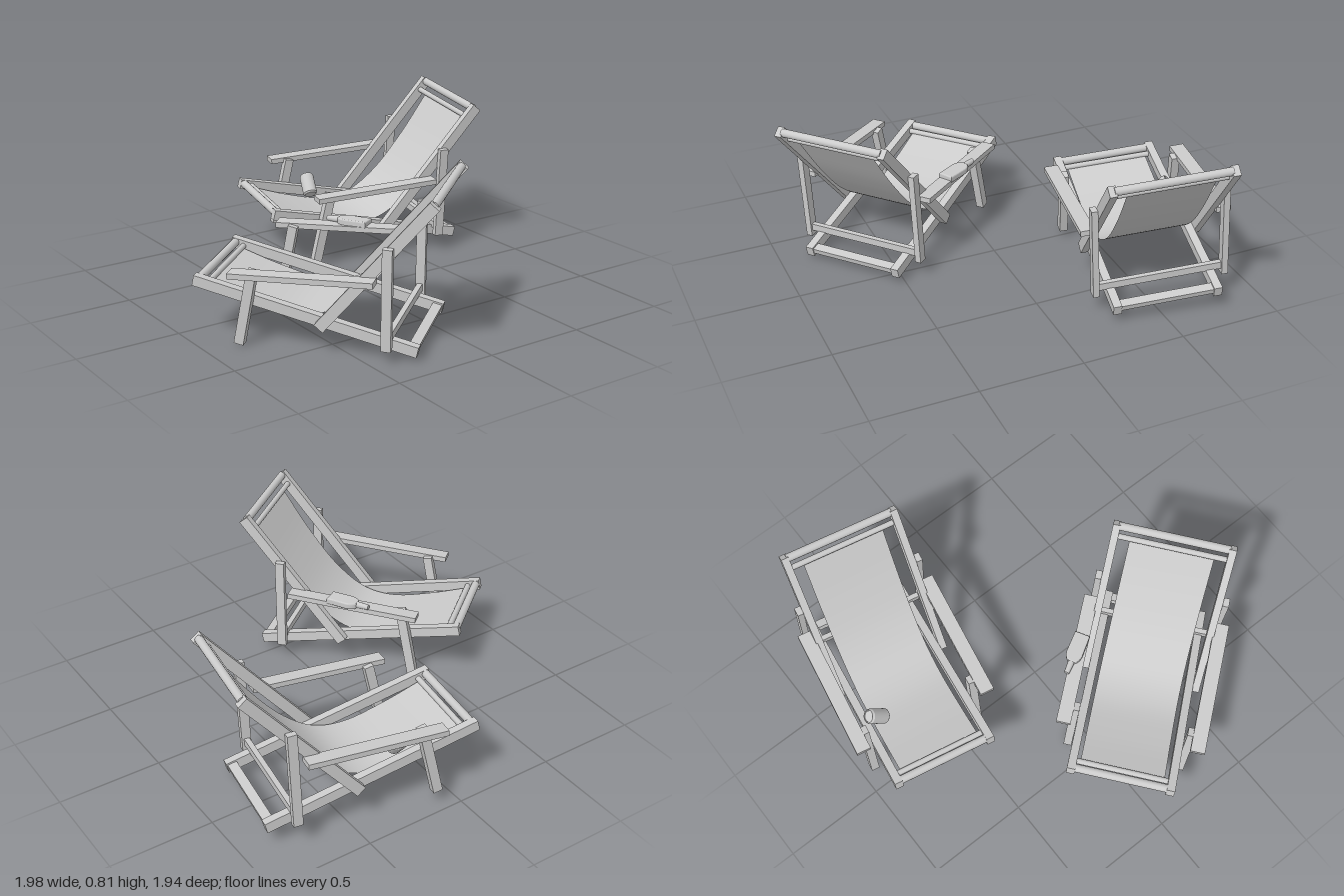
import * as THREE from 'three';

const material = new THREE.MeshStandardMaterial({ color: 0xcccccc });
const clothMaterial = new THREE.MeshStandardMaterial({ color: 0xcccccc, side: THREE.DoubleSide });

function part(name, geometry, parent, mat = material) {
  const mesh = new THREE.Mesh(geometry, mat);
  mesh.name = name;
  parent.add(mesh);
  return mesh;
}

// Straight timber in the side plane, from [z, y] to [z, y], at sideways offset x
function beam(parent, name, x, [z1, y1], [z2, y2], width, depth) {
  const dz = z2 - z1, dy = y2 - y1;
  const mesh = part(name, new THREE.BoxGeometry(width, depth, Math.hypot(dz, dy)), parent);
  mesh.position.set(x, (y1 + y2) / 2, (z1 + z2) / 2);
  mesh.rotation.x = -Math.atan2(dy, dz);
}

// Round bar running across the chair
function dowel(parent, name, z, y, length, radius) {
  const mesh = part(name, new THREE.CylinderGeometry(radius, radius, length, 16), parent);
  mesh.position.set(0, y, z);
  mesh.rotation.z = Math.PI / 2;
}

// Hanging cloth following a sagging side profile
function clothGeometry(width) {
  const curve = new THREE.CatmullRomCurve3([
    [-0.515, 0.685], [-0.36, 0.46], [-0.2, 0.275], [-0.05, 0.175],
    [0.1, 0.155], [0.3, 0.2], [0.5, 0.268],
  ].map(([z, y]) => new THREE.Vector3(0, y, z)));
  const geometry = new THREE.PlaneGeometry(width, 1, 1, 32);
  const pos = geometry.attributes.position;
  for (let i = 0; i < pos.count; i++) {
    const p = curve.getPoint(0.5 - pos.getY(i));
    pos.setXYZ(i, pos.getX(i), p.y, p.z);
  }
  geometry.computeVertexNormals();
  return geometry;
}

function createChair(name) {
  const chair = new THREE.Group();
  chair.name = name;
  for (const s of [-1, 1]) {
    const side = s > 0 ? 'left' : 'right';
    beam(chair, side + 'SeatRail', s * 0.242, [0.555, 0.283], [-0.47, 0.05], 0.04, 0.05);
    beam(chair, side + 'BackRail', s * 0.279, [-0.035, 0.13], [-0.55, 0.738], 0.036, 0.052);
    beam(chair, side + 'RearPost', s * 0.312, [-0.345, 0.07], [-0.355, 0.54], 0.03, 0.045);
    beam(chair, side + 'FrontLeg', s * 0.283, [0.335, 0.017], [0.262, 0.37], 0.04, 0.045);
    beam(chair, side + 'Armrest', s * 0.325, [0.355, 0.362], [-0.3, 0.384], 0.07, 0.026);
  }
  // Back top bars, seat front bars, lower stretchers
  dowel(chair, 'backTopBar', -0.54, 0.73, 0.54, 0.02);
  dowel(chair, 'backClothBar', -0.507, 0.687, 0.54, 0.014);
  dowel(chair, 'seatFrontBar', 0.535, 0.283, 0.47, 0.02);
  dowel(chair, 'seatClothBar', 0.495, 0.268, 0.47, 0.014);
  const postBar = part('postStretcher', new THREE.BoxGeometry(0.61, 0.035, 0.026), chair);
  postBar.position.set(0, 0.115, -0.345);
  const railBar = part('railStretcher', new THREE.BoxGeometry(0.46, 0.026, 0.045), chair);
  railBar.position.set(0, 0.06, -0.445);
  railBar.rotation.x = -0.22;
  part('clothSling', clothGeometry(0.41), chair, clothMaterial);
  return chair;
}

// Leaning drinks can
function createCan() {
  const group = new THREE.Group();
  group.name = 'drinkCan';
  const profile = [[0, -0.058], [0.03, -0.058], [0.037, -0.05], [0.037, 0.048],
    [0.031, 0.058], [0.028, 0.058], [0.027, 0.053], [0, 0.053]];
  const points = profile.map(([r, y]) => new THREE.Vector2(r, y));
  for (let i = 0; i < points.length - 1; i++) {
    part('canSurface', new THREE.LatheGeometry([points[i], points[i + 1]], 24), group);
  }
  return group;
}

// Flat bottle lying on its side, cap towards local -z
function createBottle() {
  const group = new THREE.Group();
  group.name = 'lotionBottle';
  const shape = new THREE.Shape();
  shape.moveTo(-0.032, -0.066);
  shape.lineTo(0.032, -0.066);
  shape.lineTo(0.034, 0.035);
  shape.quadraticCurveTo(0.03, 0.065, 0.014, 0.074);
  shape.lineTo(-0.014, 0.074);
  shape.quadraticCurveTo(-0.03, 0.065, -0.034, 0.035);
  shape.closePath();
  const body = new THREE.ExtrudeGeometry(shape, {
    depth: 0.018, bevelEnabled: true, bevelSize: 0.006, bevelThickness: 0.007, bevelSegments: 3, curveSegments: 8,
  });
  body.translate(0, 0, -0.009);
  body.rotateX(-Math.PI / 2);
  part('bottleBody', body, group);
  const cap = part('bottleCap', new THREE.CylinderGeometry(0.013, 0.016, 0.062, 16), group);
  cap.rotation.x = -Math.PI / 2;
  cap.position.z = -0.108;
  return group;
}

export function createModel() {
  const model = new THREE.Group();
  model.name = 'deckChairs';

  // Two chairs, each slightly sunk to one side
  const rearChair = createChair('rearDeckChair');
  rearChair.position.set(-0.598, 0.035, -0.373);
  rearChair.rotation.set(0, -0.18, -0.06);
  const frontChair = createChair('frontDeckChair');
  frontChair.position.set(0.338, 0, 0.4);
  frontChair.rotation.set(0, -0.888, -0.04);

  const can = createCan();
  can.position.set(-0.797, 0.292, -0.22);
  can.quaternion.setFromUnitVectors(new THREE.Vector3(0, 1, 0),
    new THREE.Vector3(-0.075, 0.085, -0.022).normalize());

  const bottle = createBottle();
  bottle.position.set(0.15, 0.41, 0.138);
  bottle.rotation.y = 2.09;

  model.add(rearChair, frontChair, can, bottle);
  return model;
}
